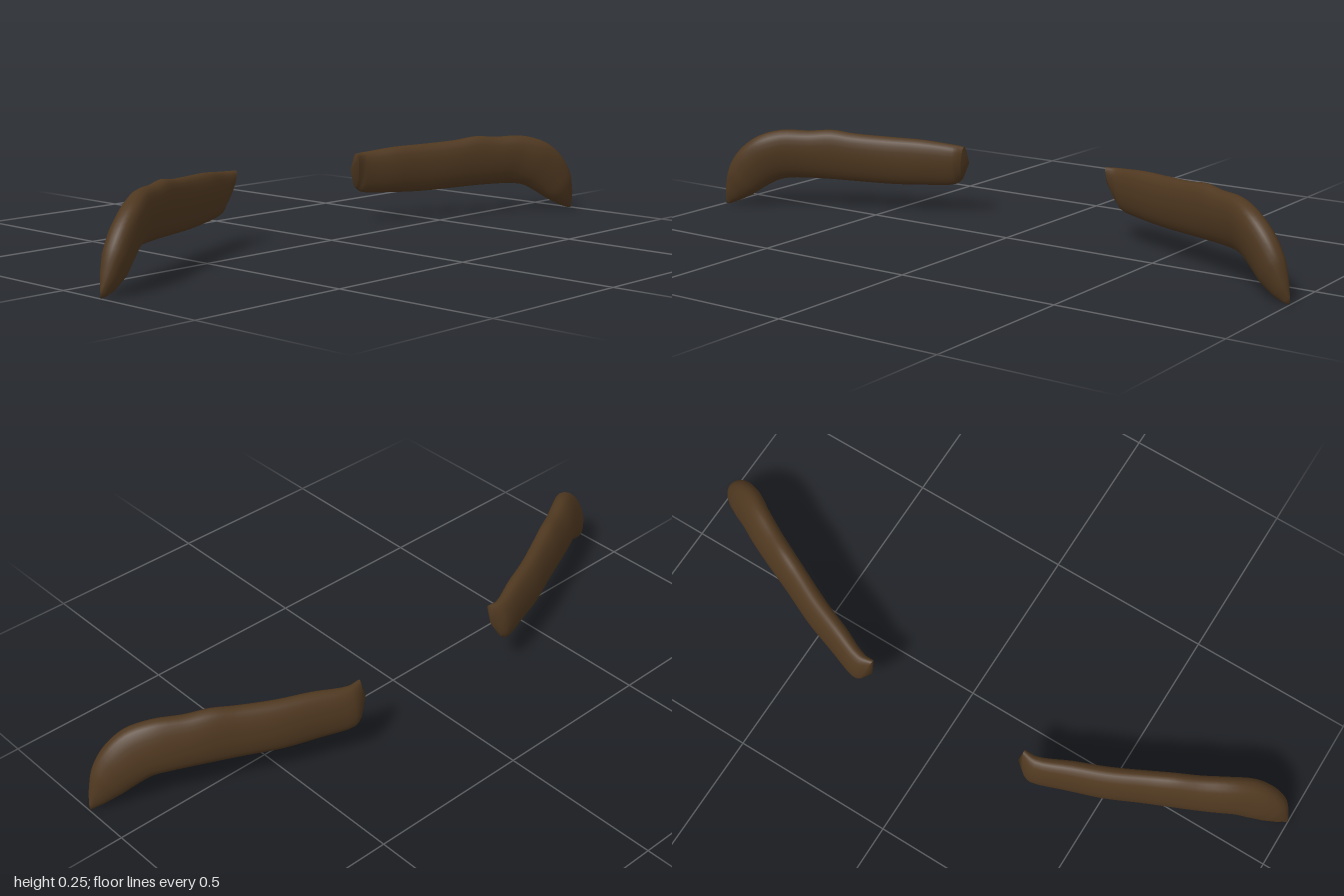
import * as THREE from 'three';

// Each station along a brow: top edge xyz, bottom edge xyz, half thickness
const STATIONS = [
  [0.258, 0.222, -0.138, 0.285, 0.112, -0.168, 0.016],
  [0.300, 0.223, -0.142, 0.305, 0.096, -0.164, 0.027],
  [0.400, 0.234, -0.105, 0.400, 0.088, -0.125, 0.033],
  [0.500, 0.238, -0.066, 0.500, 0.085, -0.088, 0.035],
  [0.600, 0.245, -0.018, 0.600, 0.089, -0.044, 0.035],
  [0.665, 0.254, 0.012, 0.670, 0.092, -0.014, 0.036],
  [0.730, 0.249, 0.045, 0.740, 0.094, 0.016, 0.037],
  [0.810, 0.249, 0.090, 0.800, 0.093, 0.044, 0.038],
  [0.875, 0.227, 0.130, 0.835, 0.087, 0.065, 0.040],
  [0.930, 0.182, 0.152, 0.870, 0.067, 0.086, 0.040],
  [0.968, 0.125, 0.160, 0.910, 0.037, 0.112, 0.036],
  [0.988, 0.065, 0.155, 0.955, 0.012, 0.136, 0.022],
  [0.998, 0.020, 0.148, 0.980, 0.002, 0.147, 0.007],
];
const RINGS = 48, SIDES = 24;

function browGeometry(side) {
  const edge = (o) => new THREE.CatmullRomCurve3(
    STATIONS.map((s) => new THREE.Vector3(s[o], s[o + 1], s[o + 2])));
  const top = edge(0), bottom = edge(3);
  const middle = (t) => top.getPoint(t).lerp(bottom.getPoint(t), 0.5);
  const halfThickness = (t) => {
    const f = t * (STATIONS.length - 1);
    const i = Math.min(Math.floor(f), STATIONS.length - 2);
    return THREE.MathUtils.lerp(STATIONS[i][6], STATIONS[i + 1][6], f - i);
  };
  const positions = [], indices = [];
  const add = (p) => positions.push(p.x * side, p.y, p.z) / 3 - 1;
  const face = (a, b, c) => (side > 0 ? indices.push(a, b, c) : indices.push(a, c, b));

  // Oval cross-sections spanning the two edges
  const ringPoints = (t) => {
    const up = top.getPoint(t).sub(bottom.getPoint(t)).multiplyScalar(0.5);
    const along = middle(Math.min(t + 0.01, 1)).sub(middle(Math.max(t - 0.01, 0)));
    const out = along.cross(up).normalize().multiplyScalar(halfThickness(t));
    return Array.from({ length: SIDES }, (_, j) => {
      const a = (j / SIDES) * Math.PI * 2;
      const c = Math.cos(a), s = Math.sin(a);
      return middle(t).addScaledVector(up, c)
        .addScaledVector(out, Math.sign(s) * Math.pow(Math.abs(s), 0.85));
    });
  };
  for (let i = 0; i <= RINGS; i++) ringPoints(i / RINGS).forEach(add);
  for (let i = 0; i < RINGS; i++) {
    for (let j = 0; j < SIDES; j++) {
      const k = (j + 1) % SIDES;
      const a = i * SIDES + j, b = i * SIDES + k;
      face(a, b, a + SIDES);
      face(b, b + SIDES, a + SIDES);
    }
  }

  // Blunt inner end with its own vertices, and the pointed outer tip
  const cap = ringPoints(0).map(add);
  const innerCentre = add(new THREE.Vector3(0.251, 0.17, -0.156));
  const tip = add(new THREE.Vector3(0.998, 0.0, 0.148));
  for (let j = 0; j < SIDES; j++) {
    const k = (j + 1) % SIDES;
    face(innerCentre, cap[k], cap[j]);
    face(tip, RINGS * SIDES + j, RINGS * SIDES + k);
  }

  const geometry = new THREE.BufferGeometry();
  geometry.setAttribute('position', new THREE.Float32BufferAttribute(positions, 3));
  geometry.setIndex(indices);
  geometry.computeVertexNormals();
  return geometry;
}

export function createModel() {
  const model = new THREE.Group();
  model.name = 'eyebrows';
  const material = new THREE.MeshStandardMaterial({ color: 0x4f3820 });
  for (const [name, side] of [['leftEyebrow', 1], ['rightEyebrow', -1]]) {
    const brow = new THREE.Mesh(browGeometry(side), material);
    brow.name = name;
    model.add(brow);
  }
  return model;
}
